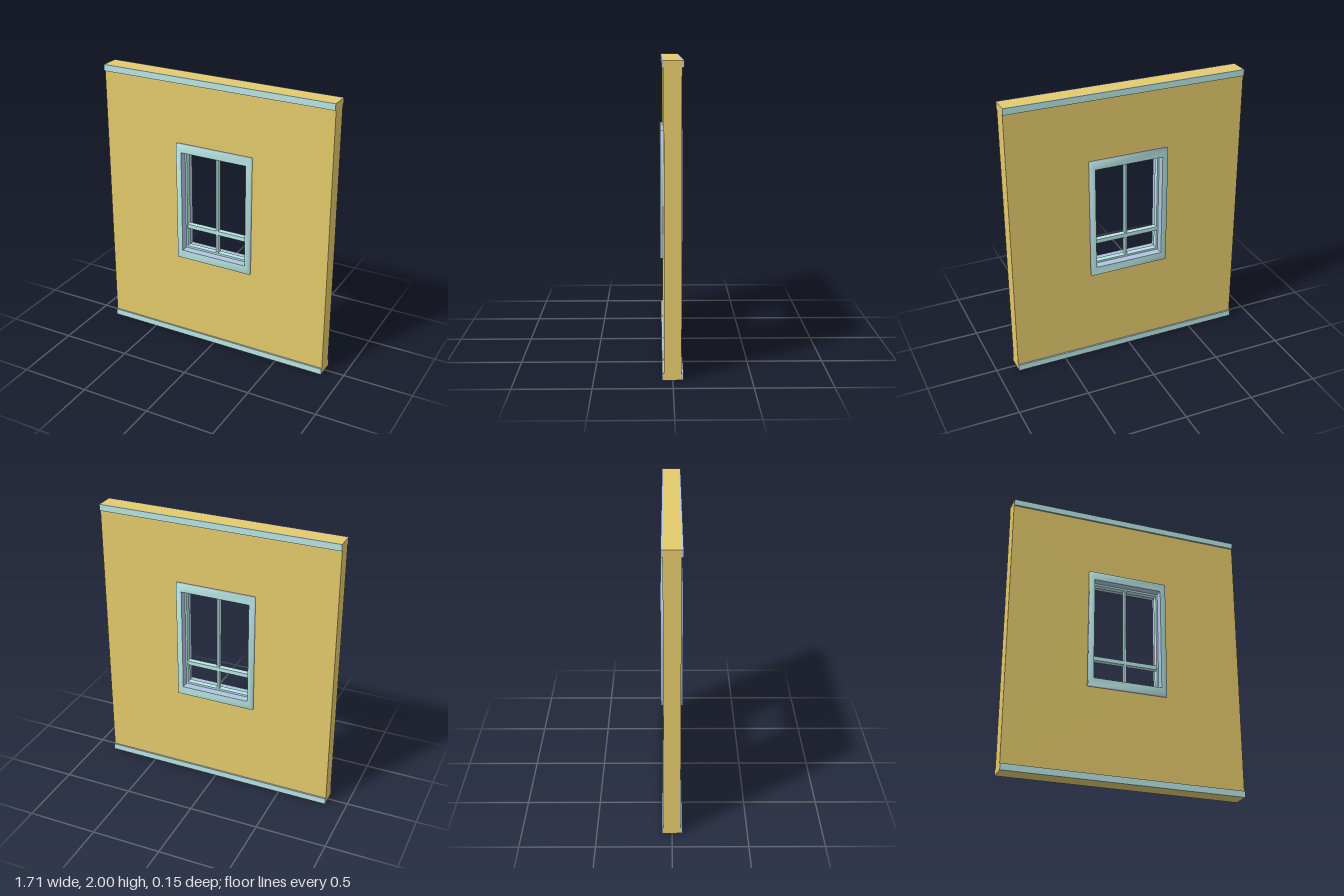
import * as THREE from 'three';

const W = 0.855, H = 2, TRIM = 0.045;      // half width, height, trim height
const WALL_Z = 0.0555, TRIM_Z = 0.0675;    // half depths
const WIN_X = 0.287, WIN_Y = 0.436, MID_Y = 1.09; // casing half size and centre
const INSET_X = 0.039, INSET_Y = 0.06;     // casing widths
const CASING_Z = 0.076;

// Mitred rectangular strip: profile points are [inset 0..1, z], swept round four corners.
// Each band between two points becomes a geometry group with the given material index.
function frameGeometry(profile, bandMaterials) {
  const corners = [[1, 1], [-1, 1], [-1, -1], [1, -1]];
  const pos = [], idx = [];
  for (const [t, z] of profile)
    for (const [sx, sy] of corners) pos.push(sx * (WIN_X - t * INSET_X), sy * (WIN_Y - t * INSET_Y), z);
  const geo = new THREE.BufferGeometry();
  bandMaterials.forEach((material, i) => {
    for (let j = 0; j < 4; j++) {
      const m = (j + 1) % 4;
      const a = i * 4 + j, b = i * 4 + m, c = b + 4, d = a + 4;
      idx.push(a, b, c, a, c, d);
    }
    geo.addGroup(i * 24, 24, material);
  });
  geo.setAttribute('position', new THREE.Float32BufferAttribute(pos, 3));
  geo.setIndex(idx);
  geo.computeVertexNormals();
  return geo;
}

export function createModel() {
  const model = new THREE.Group();
  model.name = 'windowWall';
  const material = (name, color) => {
    const m = new THREE.MeshStandardMaterial({ color });
    m.name = name;
    return m;
  };
  const ochre = material('ochre plaster', 0xe4ca6b);
  const blue = material('pale blue paint', 0xb8e7e4);
  const lavender = material('lavender blue edges', 0xb0c4e2);

  const add = (parent, name, geo, mat, x = 0, y = 0, z = 0) => {
    const mesh = new THREE.Mesh(geo, mat);
    mesh.name = name;
    mesh.position.set(x, y, z);
    parent.add(mesh);
  };
  const box = (parent, name, w, h, d, x, y, z = 0, mat = blue) =>
    add(parent, name, new THREE.BoxGeometry(w, h, d), mat, x, y, z);

  // Wall slab with window opening
  const slab = new THREE.Shape([[-W, 0], [W, 0], [W, H], [-W, H]]
    .map(([x, y]) => new THREE.Vector2(x, y)));
  const hx = WIN_X - 0.02, hy = WIN_Y - 0.03;
  slab.holes.push(new THREE.Path([[-hx, -hy], [-hx, hy], [hx, hy], [hx, -hy]]
    .map(([x, y]) => new THREE.Vector2(x, y + MID_Y))));
  add(model, 'wall', new THREE.ExtrudeGeometry(slab, { depth: 2 * WALL_Z, bevelEnabled: false }),
    ochre, 0, 0, -WALL_Z);

  // Trim strips along top and bottom, on both faces
  const trimMaterials = [lavender, lavender, lavender, lavender, blue, blue];
  for (const side of [1, -1]) {
    const z = side * (WALL_Z + TRIM_Z) / 2;
    box(model, 'topTrim', 2 * W, TRIM, TRIM_Z - WALL_Z, 0, H - TRIM / 2, z, trimMaterials);
    box(model, 'bottomTrim', 2 * W, TRIM, TRIM_Z - WALL_Z, 0, TRIM / 2, z, trimMaterials);
  }

  // Window
  const win = new THREE.Group();
  win.name = 'window';
  win.position.y = MID_Y;
  model.add(win);

  // Casings with softly shaded outer edges, and the lining between them
  const casingMaterials = [blue, lavender];
  add(win, 'frontCasing', frameGeometry([[0, 0.052], [0, CASING_Z], [1, CASING_Z]], [1, 0]), casingMaterials);
  add(win, 'backCasing', frameGeometry([[1, -CASING_Z], [0, -CASING_Z], [0, -0.052]], [0, 1]), casingMaterials);
  for (const s of [-1, 1]) {
    const jamb = new THREE.PlaneGeometry(2 * CASING_Z, 2 * (WIN_Y - INSET_Y)).rotateY(-s * Math.PI / 2);
    add(win, 'jambLining', jamb, lavender, s * (WIN_X - INSET_X), 0);
    const head = new THREE.PlaneGeometry(2 * (WIN_X - INSET_X), 2 * CASING_Z).rotateX(s * Math.PI / 2);
    add(win, s > 0 ? 'headLining' : 'sillLining', head, lavender, 0, s * (WIN_Y - INSET_Y));
  }

  // Sash frame
  const sx = 0.248, sy = 0.376, rail = 0.012, depth = 0.04;
  for (const s of [-1, 1]) {
    box(win, 'sashStile', rail, 2 * sy, depth, s * (sx - rail / 2), 0);
    box(win, 'sashRail', 2 * (sx - rail), rail + 0.002, depth, 0, s * (sy - rail / 2 - 0.001));
  }

  // Glazing bars
  box(win, 'mullion', 0.016, 2 * (sy - rail), 0.036, 0, 0);
  box(win, 'transom', 2 * (sx - rail), 0.03, 0.038, 0, 0.885 - MID_Y);

  return model;
}
